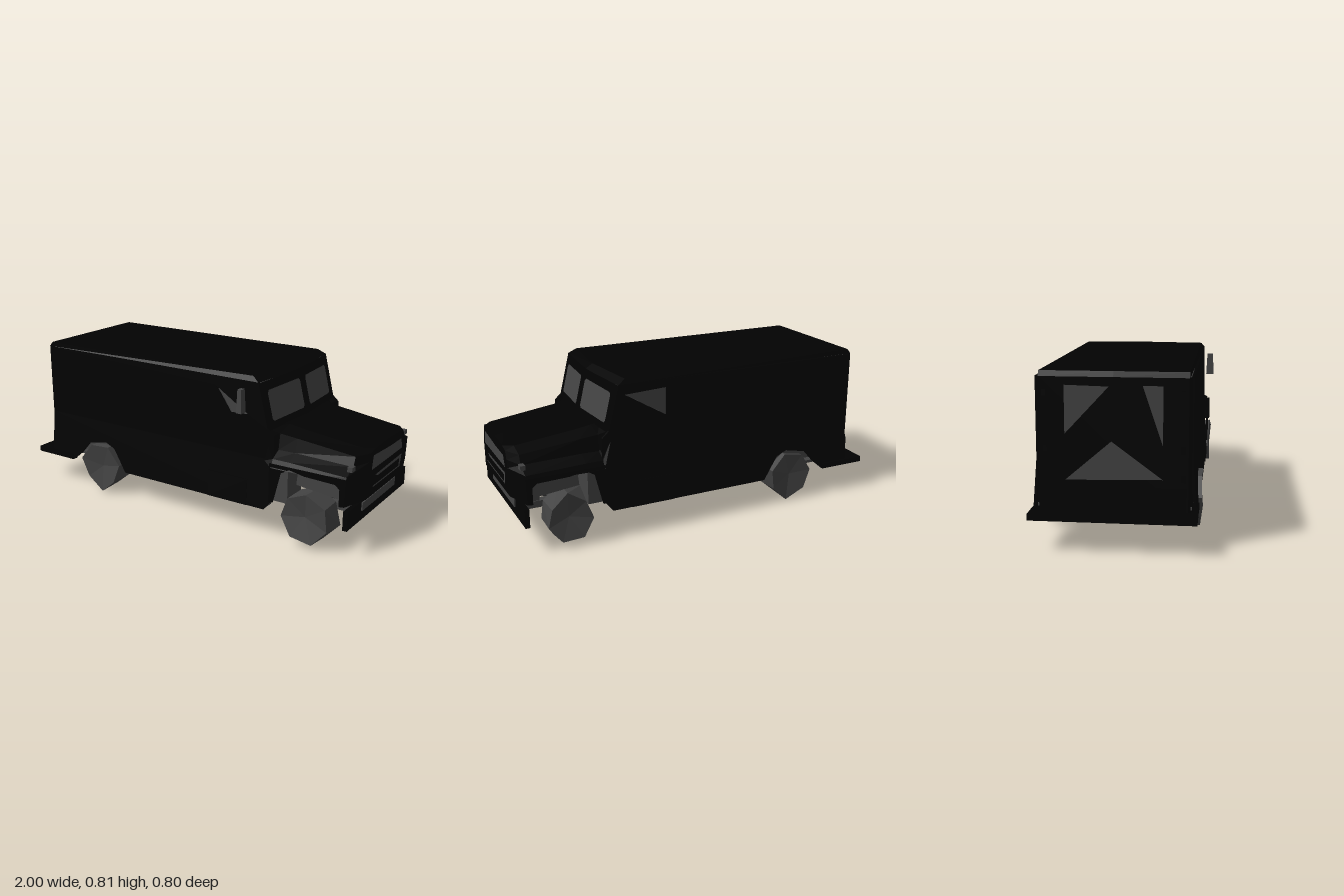
import * as THREE from 'three';

const ZC = -0.011; // centre line of the bodywork

export function createModel() {
  const root = new THREE.Group();
  root.name = 'van';
  const mat = (name, color) => {
    const m = new THREE.MeshStandardMaterial({ color, side: THREE.DoubleSide, flatShading: true });
    m.name = name;
    return m;
  };
  const black = mat('black paint', 0x020202);
  const grey = mat('grey glass and chassis', 0x434343);

  const add = (name, geo, m, parent = root) => {
    const mesh = new THREE.Mesh(geo, m);
    mesh.name = name;
    parent.add(mesh);
    return mesh;
  };
  // box given by its limits
  const box = (name, m, x0, x1, y0, y1, z0, z1, parent = root) => {
    const mesh = add(name, new THREE.BoxGeometry(x1 - x0, y1 - y0, z1 - z0), m, parent);
    mesh.position.set((x0 + x1) / 2, (y0 + y1) / 2, (z0 + z1) / 2);
    return mesh;
  };
  const shape = pts => new THREE.Shape(pts.map(p => new THREE.Vector2(...p)));
  // side panel: x,y outline, outer face at distance d from the centre line,
  // leaning outwards below y = 0.41 by the flare rate
  const side = (name, m, pts, s, d, { hole, flare = 0, depth = 0.012 } = {}) => {
    const sh = shape(pts);
    if (hole) sh.holes.push(shape(hole));
    const g = new THREE.ExtrudeGeometry(sh, { depth, bevelEnabled: false });
    g.translate(0, 0, ZC + (s > 0 ? d - depth : -d));
    const p = g.attributes.position;
    for (let i = 0; i < p.count; i++) p.setZ(i, p.getZ(i) + s * flare * (0.41 - p.getY(i)));
    g.computeVertexNormals();
    return add(name, g, m);
  };
  // thin plate with z,y outline facing +x or -x
  const plate = (name, m, pts, x, s) => {
    const g = new THREE.ShapeGeometry(shape(pts.map(([z, y]) => [-s * z, y])));
    g.rotateY(s * Math.PI / 2);
    g.translate(x, 0, 0);
    return add(name, g, m);
  };
  // block from a symmetric x,z plan outline
  const block = (name, m, pts, y0, y1) => {
    const g = new THREE.ExtrudeGeometry(shape(pts), { depth: y1 - y0, bevelEnabled: false });
    g.rotateX(-Math.PI / 2);
    g.translate(0, y0, ZC);
    return add(name, g, m);
  };

  // Cargo body sides with grey lining
  const upper = [[-0.89, 0.4], [0.56, 0.4], [0.56, 0.53], [0.525, 0.562], [0.47, 0.786], [-0.89, 0.786]];
  const lining = [[-0.88, 0.22], [0.5, 0.22], [0.5, 0.56], [0.45, 0.78], [-0.88, 0.78]];
  const lower = [[-0.9, 0.15], [-0.74, 0.15], [-0.68, 0.2], [-0.62, 0.27], [-0.5, 0.295], [-0.44, 0.27],
    [-0.36, 0.15], [0.52, 0.15], [0.56, 0.2], [0.56, 0.41], [-0.89, 0.41]];
  const windowHole = {
    1: [[0.22, 0.74], [0.31, 0.61], [0.42, 0.615]],
    [-1]: [[0.215, 0.745], [0.44, 0.735], [0.215, 0.6]],
  };
  for (const s of [1, -1]) {
    const hole = windowHole[s];
    side('upperSide', black, upper, s, 0.354, { hole });
    side('sideLining', grey, lining, s, 0.341, { hole, depth: 0.004 });
    side('lowerSide', black, lower, s, 0.354, { flare: 0.075 });
    side('stepPanel', black, [[0.19, 0.15], [0.42, 0.15], [0.42, 0.285], [0.19, 0.285]], s, 0.357, { flare: 0.075 });
    box('rearWheelWell', black, -0.7, -0.37, 0.2, 0.31, ZC + s * 0.19 - 0.006, ZC + s * 0.19 + 0.006);
  }

  // Roof with chamfered edges, front edge pointed in plan
  const roof = new THREE.BoxGeometry(1.415, 0.025, 0.708, 1, 1, 2);
  const rp = roof.attributes.position;
  for (let i = 0; i < rp.count; i++) {
    const front = rp.getX(i) > 0, top = rp.getY(i) > 0, z = rp.getZ(i), edge = Math.sign(z);
    rp.setX(i, rp.getX(i) + (front ? -0.035 * Math.abs(edge) : 0) + (top ? (front ? -0.04 : 0.02) : 0));
    rp.setZ(i, z - edge * (top || !front ? 0.018 : 0));
  }
  roof.computeVertexNormals();
  roof.translate(-0.2025, 0.7975, ZC);
  add('roof', roof, black);
  box('roofLining', grey, -0.88, 0.43, 0.776, 0.782, ZC - 0.335, ZC + 0.335);

  // Rear wall, glazing and hinges
  block('rearWall', black, [[-0.885, -0.354], [-0.885, 0.354], [-0.912, 0.334], [-0.912, -0.334]], 0.15, 0.786);
  box('rearSill', black, -0.93, -0.9, 0.15, 0.29, ZC - 0.325, ZC + 0.325);
  const panes = [
    [[-0.23, 0.75], [-0.23, 0.53], [-0.03, 0.745]],
    [[-0.23, 0.32], [0.21, 0.33], [-0.02, 0.5]],
    [[0.21, 0.75], [0.21, 0.48], [0.12, 0.75]],
  ];
  panes.forEach(p => plate('rearPane', grey, p, -0.915, -1));
  for (const z of [-0.32, 0.3]) for (const y of [0.32, 0.45, 0.7])
    box('hinge', black, -0.918, -0.912, y, y + 0.03, z - 0.01, z + 0.01);
  box('rearBumper', black, -1, -0.9, 0.15, 0.18, -0.39, 0.368);
  for (const s of [1, -1])
    box('rearBumperSide', black, -0.95, -0.74, 0.15, 0.18, ZC + s * 0.362 - 0.016, ZC + s * 0.362 + 0.016);

  // Sloping windscreen in two angled halves
  const screen = new THREE.Group();
  screen.name = 'windscreen';
  screen.position.set(0.533, 0.673, ZC);
  screen.rotation.z = 0.24;
  root.add(screen);
  for (const s of [1, -1]) {
    const half = new THREE.Group();
    half.name = 'screenHalf';
    half.rotation.y = -0.1 * s;
    screen.add(half);
    box('screenFrame', black, -0.01, 0, -0.118, 0.118, Math.min(0, s * 0.355), Math.max(0, s * 0.355), half);
    const w = 0.138, h = 0.077, c = 0.012;
    const g = new THREE.ShapeGeometry(shape([[-w + c, -h], [w - c, -h], [w, -h + c], [w, h - c],
      [w - c, h], [-w + c, h], [-w, h - c], [-w, -h + c]]));
    g.rotateY(Math.PI / 2);
    g.translate(0.004, -0.003, s * 0.166);
    add('screenGlass', g, grey, half);
  }
  box('firewall', black, 0.54, 0.555, 0.2, 0.53, ZC - 0.354, ZC + 0.354);

  // Hood and fender tops lofted from half sections [z, y]
  const sections = [
    [0.51, [[0, 0.565], [0.2, 0.56], [0.3, 0.545], [0.33, 0.54], [0.35, 0.53], [0.354, 0.4]]],
    [0.56, [[0, 0.56], [0.2, 0.555], [0.29, 0.53], [0.305, 0.45], [0.36, 0.42], [0.38, 0.38]]],
    [0.65, [[0, 0.55], [0.2, 0.542], [0.285, 0.52], [0.3, 0.45], [0.36, 0.42], [0.38, 0.38]]],
    [0.95, [[0, 0.512], [0.19, 0.505], [0.27, 0.485], [0.29, 0.44], [0.36, 0.41], [0.372, 0.38]]],
    [0.997, [[0, 0.505], [0.15, 0.5], [0.2, 0.49], [0.215, 0.45], [0.225, 0.41], [0.23, 0.38]]],
  ].map(([x, half]) => [
    ...half.slice(1).reverse().map(([z, y]) => [x, y, ZC - z]),
    ...half.map(([z, y]) => [x, y, ZC + z]),
  ]);
  const n = sections[0].length, idx = [];
  for (let i = 0; i < sections.length - 1; i++) for (let j = 0; j < n - 1; j++) {
    const a = i * n + j, b = a + n;
    idx.push(a, a + 1, b, b, a + 1, b + 1);
  }
  const hood = new THREE.BufferGeometry();
  hood.setAttribute('position', new THREE.Float32BufferAttribute(sections.flat(2), 3));
  hood.setIndex(idx);
  hood.computeVertexNormals();
  add('hood', hood, black);
  plate('noseUpper', black, sections.at(-1).map(p => [p[2], p[1]]), 0.996, 1);

  // Nose block
  block('nose', black, [[0.925, -0.378], [0.95, -0.372], [0.996, -0.23], [0.996, 0.23], [0.95, 0.372],
    [0.925, 0.378]], 0.265, 0.395);

  // Grille and marker lights
  plate('upperGrille', grey, [[0.18, 0.403], [-0.2, 0.403], [-0.18, 0.458], [-0.04, 0.46], [0.165, 0.473]], 1, 1);
  plate('lowerGrille', grey, [[0.13, 0.365], [0.1, 0.352], [-0.17, 0.355], [-0.165, 0.315], [0.15, 0.315],
    [0.16, 0.308], [-0.18, 0.308], [-0.197, 0.372]], 1, 1);
  for (const s of [1, -1])
    box('markerLight', grey, 0.94, 0.965, 0.428, 0.452, ZC + s * 0.317 - 0.018, ZC + s * 0.317 + 0.018);

  // Front fenders with wheel arch
  const fender = [[0.55, 0.2], [0.57, 0.2], [0.61, 0.36], [0.66, 0.39], [0.74, 0.375], [0.9, 0.37],
    [0.94, 0.34], [0.95, 0.27], [0.955, 0.4], [0.55, 0.4]];
  for (const s of [1, -1]) {
    side('fender', black, fender, s, 0.378);
    box('archLiner', grey, 0.68, 0.92, 0.29, 0.37, ZC + s * 0.25 - 0.08, ZC + s * 0.25 + 0.08).rotation.z = -0.1;
    box('archRearLiner', grey, 0.56, 0.64, 0.2, 0.38, ZC + s * 0.28 - 0.07, ZC + s * 0.28 + 0.07);
  }
  box('engine', grey, 0.56, 0.92, 0.25, 0.38, ZC - 0.17, ZC + 0.17);

  // Front bumper
  box('frontBumper', black, 0.94, 0.963, 0.14, 0.237, ZC - 0.357, ZC + 0.357);
  box('bumperInsert', grey, 0.963, 0.97, 0.19, 0.232, -0.21, 0.19);
  for (const s of [1, -1])
    box('bumperArm', grey, 0.84, 0.94, 0.19, 0.235, ZC + s * 0.18 - 0.015, ZC + s * 0.18 + 0.015);

  // Door mirror
  const mirror = add('mirror', new THREE.CylinderGeometry(0.022, 0.03, 0.118, 4, 1, false, Math.PI / 4), grey);
  mirror.position.set(0.395, 0.692, 0.379);
  mirror.scale.set(0.7, 1, 1);

  // Floor, rails and cross members
  box('floor', grey, -0.9, 0.55, 0.19, 0.205, ZC - 0.35, ZC + 0.35);
  for (const s of [1, -1]) {
    box('rail', grey, -0.9, 0.93, 0.165, 0.2, ZC + s * 0.18 - 0.02, ZC + s * 0.18 + 0.02);
    box('sill', grey, -0.36, 0.52, 0.152, 0.2, ZC + s * 0.325 - 0.03, ZC + s * 0.325 + 0.03);
    box('hanger', grey, 0.07, 0.135, 0.1, 0.165, ZC + s * 0.18 - 0.011, ZC + s * 0.18 + 0.011);
  }
  for (const x of [-0.85, -0.33, -0.05, 0.2, 0.48])
    box('crossMember', grey, x - 0.025, x + 0.025, 0.16, 0.2, ZC - 0.3, ZC + 0.3);

  // Axles and faceted wheels
  let seed = 7;
  const rnd = () => (seed = (seed * 16807) % 2147483647) / 2147483647;
  for (const [x, y, r] of [[-0.53, 0.15, 0.148], [0.745, 0.16, 0.15]]) {
    box('axle', grey, x - 0.02, x + 0.02, y, y + 0.04, -0.3, 0.28);
    const diff = add('differential', new THREE.OctahedronGeometry(0.065), grey);
    diff.position.set(x, y + 0.015, ZC);
    for (const z of [0.3, -0.319]) {
      const g = new THREE.CylinderGeometry(r, r, 0.162, 7, 1);
      g.rotateX(Math.PI / 2);
      g.rotateZ(rnd() * 0.4);
      const p = g.attributes.position, moved = {};
      for (let i = 0; i < p.count; i++) {
        // the same corner always gets the same dent
        const key = [p.getX(i), p.getY(i), p.getZ(i)].map(v => Math.round(v * 1000)).join();
        const k = moved[key] ??= [0.74 + rnd() * 0.28, 0.7 + rnd() * 0.3];
        const hub = Math.hypot(p.getX(i), p.getY(i)) < 0.01;
        p.setXYZ(i, p.getX(i) * k[0], p.getY(i) * k[0], p.getZ(i) * (hub ? 0.6 : k[1]));
      }
      g.computeVertexNormals();
      add('wheel', g, grey).position.set(x, y, z);
    }
  }
  return root;
}
